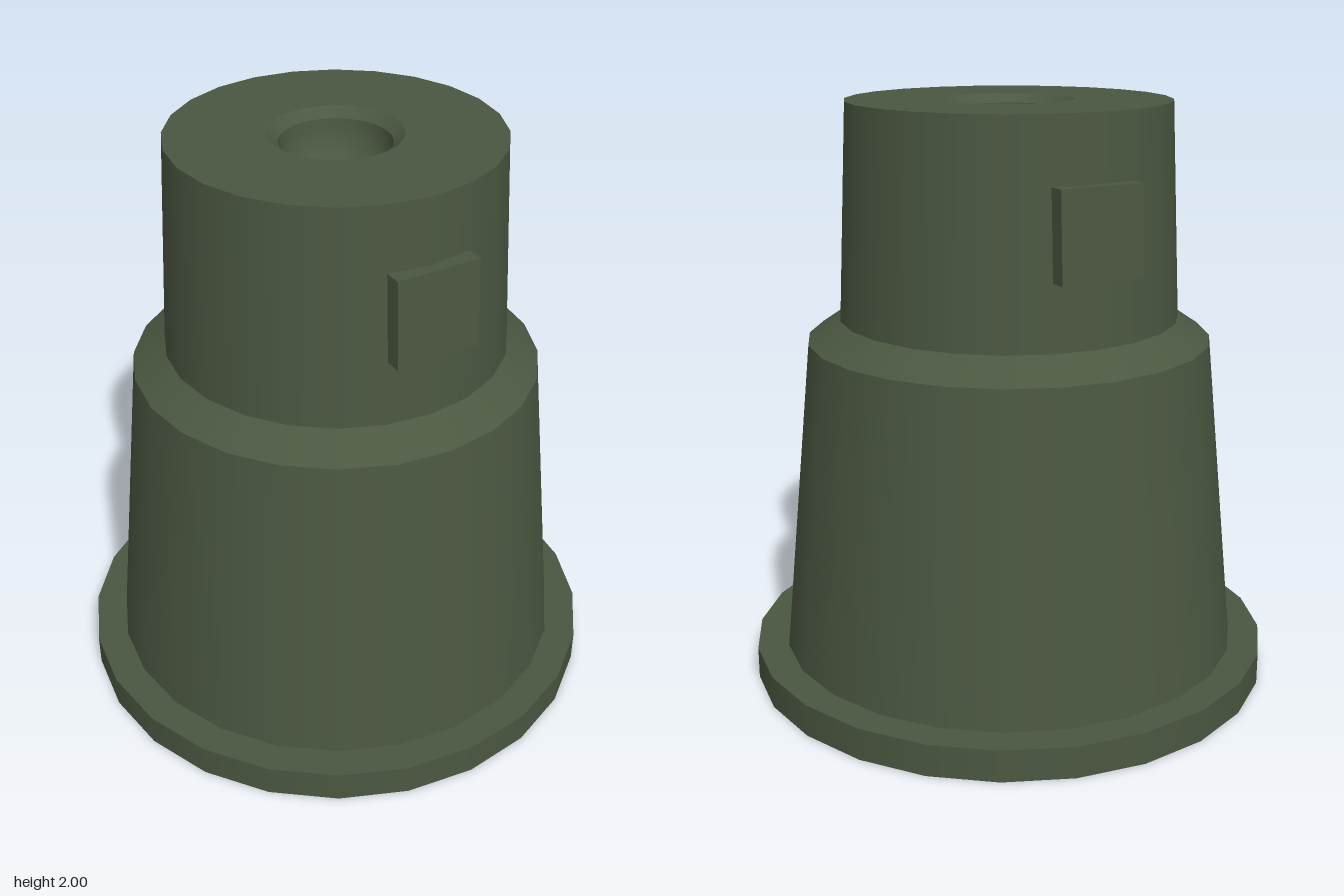
import * as THREE from 'three';

const SIDES = 24;

export function createModel() {
  const model = new THREE.Group();
  const olive = new THREE.MeshStandardMaterial({ color: 0x4b5741, side: THREE.DoubleSide });
  olive.name = 'olive green';

  const add = (name, geometry) => {
    const mesh = new THREE.Mesh(geometry, olive);
    mesh.name = name;
    model.add(mesh);
    return mesh;
  };
  const ring = (name, ...points) =>
    add(name, new THREE.LatheGeometry(points.map(([r, y]) => new THREE.Vector2(r, y)), SIDES));

  // Thin open-bottomed shell; separate rings keep the edges between them sharp
  ring('flangeRim', [0.908, 0], [0.908, 0.11]);
  ring('flangeTop', [0.908, 0.11], [0.8, 0.11]);
  ring('lowerBody', [0.8, 0.11], [0.69, 1.2]);
  ring('shoulder', [0.69, 1.2], [0.58, 1.275]);
  ring('upperBody', [0.58, 1.275], [0.545, 2]);
  ring('topFace', [0.545, 2], [0.218, 2]);
  ring('socketChamfer', [0.218, 2], [0.182, 1.97]);

  // Rounded socket sunk into the top
  const bowl = [];
  for (let i = 0; i <= 8; i++) {
    const a = (i / 8) * Math.PI / 2;
    bowl.push([i === 8 ? 0 : 0.182 * Math.cos(a), 1.97 - 0.182 * Math.sin(a)]);
  }
  ring('socketBowl', ...bowl);

  // Raised square lugs, front and back, leaning with the tapered wall
  for (const side of [1, -1]) {
    const lug = new THREE.BoxGeometry(0.29, 0.292, 0.08);
    const p = lug.attributes.position;
    for (let i = 0; i < p.count; i++) p.setZ(i, p.getZ(i) - p.getY(i) * 0.048);
    lug.computeVertexNormals();
    lug.translate(0, 1.639, 0.56);
    if (side < 0) lug.rotateY(Math.PI);
    add(side > 0 ? 'frontLug' : 'backLug', lug);
  }
  return model;
}
